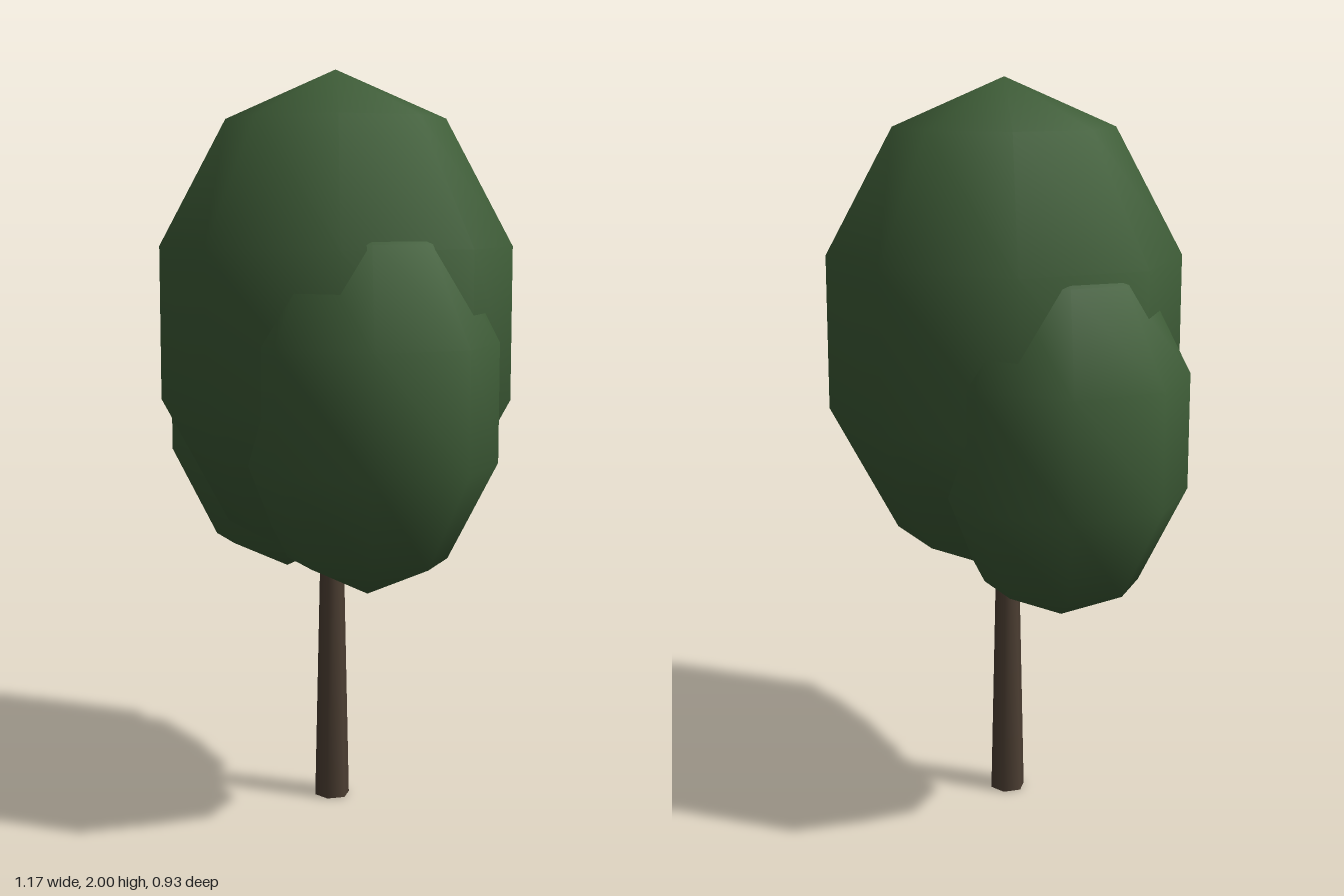
import * as THREE from 'three';

const leafMaterial = new THREE.MeshStandardMaterial({ color: 0x3f5e38 });
const barkMaterial = new THREE.MeshStandardMaterial({ color: 0x4d3f33 });

// Smooth-shaded low-poly ellipsoid of leaves
function leafClump(name, radii, centre) {
  const geometry = new THREE.SphereGeometry(1, 8, 5);
  geometry.scale(...radii);
  const mesh = new THREE.Mesh(geometry, leafMaterial);
  mesh.name = name;
  mesh.position.set(...centre);
  return mesh;
}

export function createModel() {
  const tree = new THREE.Group();
  tree.name = 'tree';

  // Tapered six-sided trunk, running up into the crown
  const height = 0.9;
  const trunkGeometry = new THREE.CylinderGeometry(0.029, 0.049, height, 6);
  trunkGeometry.rotateY(Math.PI / 6);
  const trunk = new THREE.Mesh(trunkGeometry, barkMaterial);
  trunk.name = 'trunk';
  trunk.position.set(0.004, height / 2, 0.012);
  tree.add(trunk);

  // Tall central crown with a smaller clump low on each side
  tree.add(
    leafClump('mainCrown', [0.513, 0.673, 0.488], [0.01, 1.327, 0.005]),
    leafClump('leftClump', [0.363, 0.505, 0.346], [0.24, 1.14, 0.116]),
    leafClump('rightClump', [0.347, 0.497, 0.347], [-0.257, 1.102, -0.063]),
  );
  return tree;
}
